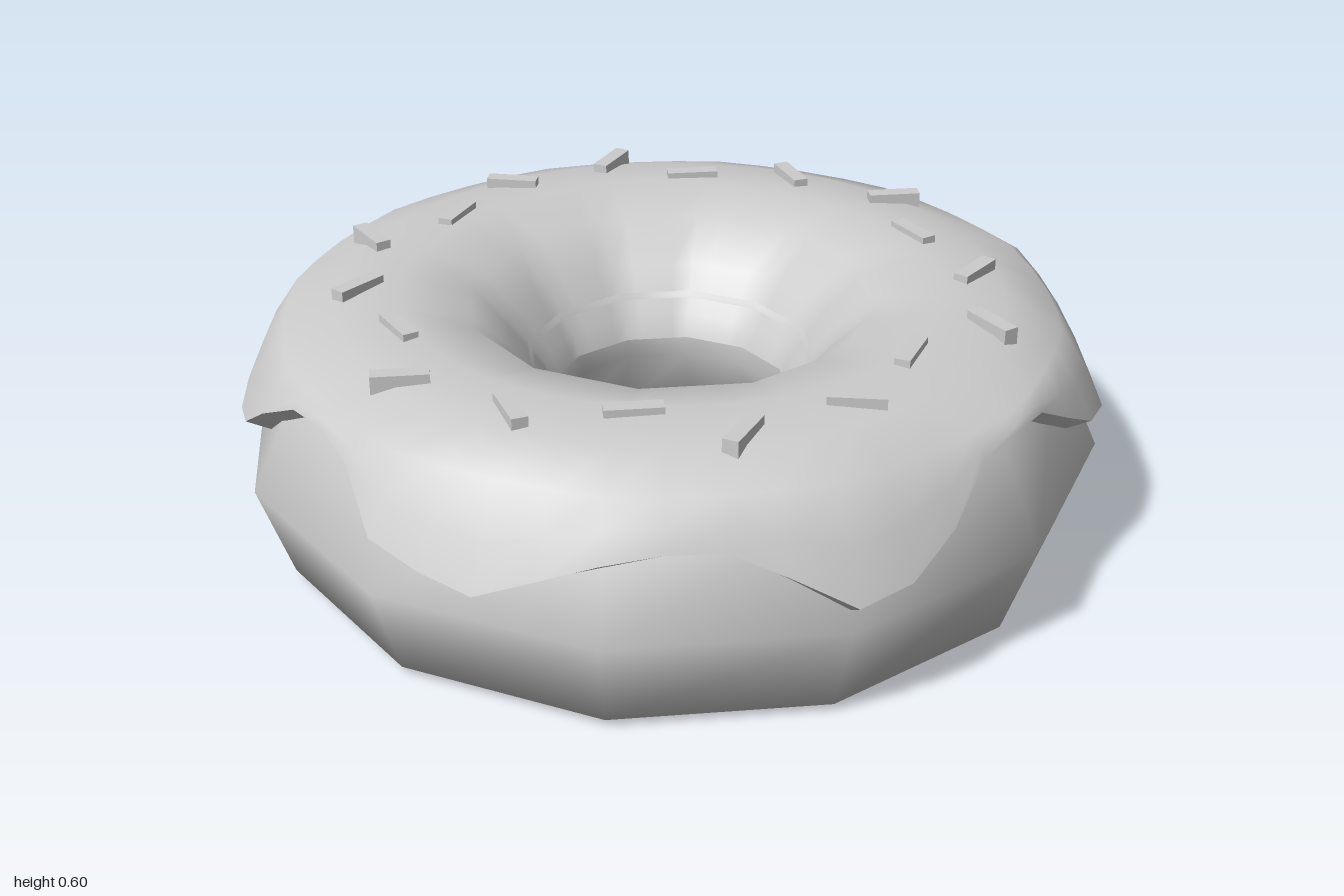
import * as THREE from 'three';

const GREY = new THREE.MeshStandardMaterial({ color: 0xcccccc });
GREY.name = 'warm grey';

// Lower rim of the icing, every 7.5 degrees from +x towards +z
const RIM = [
  .475, .44, .39, .33, .31, .335, .40, .465, .475, .455, .36, .295,
  .28, .35, .405, .405, .385, .34, .29, .31, .34, .44, .47, .46,
  .40, .32, .29, .30, .33, .39, .45, .46, .44, .385, .31, .28,
  .30, .42, .47, .46, .43, .40, .36, .29, .29, .34, .41, .46,
];
const N = RIM.length;

// Radius factor that turns a circle into a twelve-sided ring
function facet(theta) {
  const step = Math.PI / 6;
  return Math.cos(step / 2) / Math.cos((theta % step) - step / 2);
}

// Outer slope of the dough at height y
const doughRadius = (y) => 0.985 - 0.46 * (y - 0.24);

// Sweeps a profile of [radius, y] points round the y axis
function sweep(name, segments, profile, closed = false) {
  const pos = [], index = [];
  let m = 0;
  for (let i = 0; i < segments; i++) {
    const t = (i / segments) * Math.PI * 2;
    const pts = profile(t, i);
    m = pts.length;
    for (const [r, y] of pts) pos.push(r * Math.cos(t), y, r * Math.sin(t));
  }
  for (let i = 0; i < segments; i++) {
    const n = (i + 1) % segments;
    for (let j = 0; j < (closed ? m : m - 1); j++) {
      const k = (j + 1) % m;
      const a = i * m + j, b = i * m + k, c = n * m + j, d = n * m + k;
      index.push(a, b, c, b, d, c);
    }
  }
  const geo = new THREE.BufferGeometry();
  geo.setAttribute('position', new THREE.Float32BufferAttribute(pos, 3));
  geo.setIndex(index);
  geo.computeVertexNormals();
  const mesh = new THREE.Mesh(geo, GREY);
  mesh.name = name;
  return mesh;
}

// Sprinkles: x, z and turn in degrees (positive turns +x towards +z)
const SPRINKLES = [
  [.13, -.74, -42], [-.15, -.70, 30], [-.34, -.55, -45], [-.57, -.49, 78],
  [.29, -.58, 15], [.52, -.48, 90], [.70, -.26, 15], [.64, -.04, 80],
  [.67, .21, -30], [.57, .47, 78], [.34, .53, -45], [.14, .68, 27],
  [-.13, .72, -42], [-.30, .555, 15], [-.53, .46, 90], [-.70, .24, 15],
  [-.64, .01, 80], [-.67, -.23, -28],
];

export function createModel() {
  const group = new THREE.Group();
  group.name = 'ringDoughnut';

  // Twelve-sided dough ring
  const dough = [
    [.38, .05], [.60, 0], [.91, .02], [.985, .24], [doughRadius(.47), .47],
    [.80, .52], [.60, .54], [.42, .48], [.33, .40], [.262, .27],
  ];
  group.add(sweep('dough', 12, () => dough, true));

  // Icing skin from the dripping rim over the top and into the hole
  const outerRim = (t, i) => {
    const y = RIM[i] + 0.03;
    const soften = 1 - 0.4 * (1 - facet(t));
    return [(doughRadius(y - 0.03) + 0.045) * soften - 0.006, y];
  };
  const inside = [[.47, .55], [.38, .46], [.30, .36], [.275, .29]];
  group.add(sweep('icing', N, (t, i) => {
    const f = facet(t);
    const rim = outerRim(t, i);
    const shoulder = [.885 * (1 - .3 * (1 - f)), .53];
    const mid = [(rim[0] + shoulder[0]) / 2 + .008, (rim[1] + shoulder[1]) / 2];
    return [rim, mid, shoulder, [.76, .572], [.61, .585],
      ...inside.map(([r, y]) => [r * f, y])];
  }));

  // Underside of the icing rim, outside and in the hole
  group.add(sweep('icingRim', N, (t, i) => [
    [(doughRadius(RIM[i]) - 0.008) * facet(t), RIM[i]], outerRim(t, i)]));
  group.add(sweep('icingInnerRim', 12, () => [[.275, .29], [.262, .27]]));

  // Sprinkles pressed into the icing
  const bar = new THREE.BoxGeometry(.125, .05, .036);
  for (const [x, z, turn] of SPRINKLES) {
    const s = new THREE.Mesh(bar, GREY);
    s.name = 'sprinkle';
    s.position.set(x, .573, z);
    s.rotation.y = -THREE.MathUtils.degToRad(turn);
    group.add(s);
  }
  return group;
}
